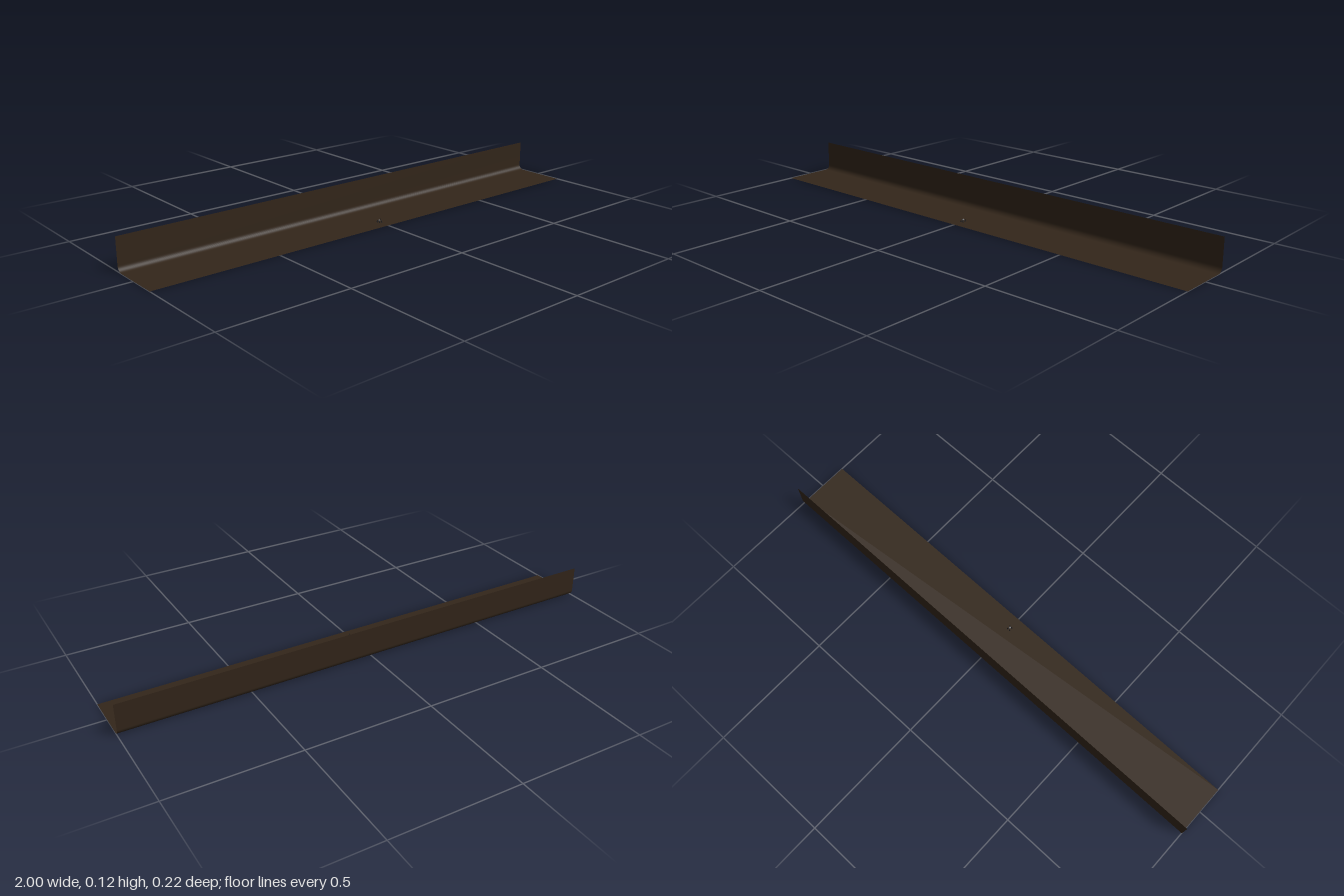
import * as THREE from 'three';

const LENGTH = 2, HEIGHT = 0.125, HALF_DEPTH = 0.11, FILLET = 0.022, BEND_STEPS = 8;

// Thin sheet: upright back, rounded inner corner, flat floor.
function makeSheet() {
  const profile = [[HEIGHT, -HALF_DEPTH]]; // [y, z] from the top edge to the front edge
  for (let i = 0; i <= BEND_STEPS; i++) {
    const a = (i / BEND_STEPS) * Math.PI / 2;
    profile.push([FILLET * (1 - Math.sin(a)), -HALF_DEPTH + FILLET * (1 - Math.cos(a))]);
  }
  profile.push([0, HALF_DEPTH]);

  const geometry = new THREE.PlaneGeometry(LENGTH, 1, 1, profile.length - 1);
  const pos = geometry.attributes.position;
  for (let i = 0; i < pos.count; i++) {
    const [y, z] = profile[Math.floor(i / 2)];
    pos.setXYZ(i, pos.getX(i), y, z);
  }
  geometry.computeVertexNormals();
  return geometry;
}

export function createModel() {
  const model = new THREE.Group();
  const add = (parent, name, geometry, material, x = 0, y = 0, z = 0) => {
    const mesh = new THREE.Mesh(geometry, material);
    mesh.name = name;
    mesh.position.set(x, y, z);
    parent.add(mesh);
    return mesh;
  };

  const sheetMat = new THREE.MeshStandardMaterial({ color: 0x33261a, side: THREE.DoubleSide });
  add(model, 'backdropSheet', makeSheet(), sheetMat);

  // Tiny ornament standing on the floor near the front edge
  const dark = new THREE.MeshStandardMaterial({ color: 0x1c1c1e });
  const grey = new THREE.MeshStandardMaterial({ color: 0x77777a });
  const ornament = new THREE.Group();
  ornament.name = 'ornament';
  ornament.position.z = 0.059;
  model.add(ornament);

  add(ornament, 'ornamentBody', new THREE.SphereGeometry(0.0042, 12, 8), grey, 0, 0.0075, 0);
  for (const sx of [-1, 1]) for (const sz of [-1, 1]) {
    add(ornament, 'ornamentFoot', new THREE.ConeGeometry(0.003, 0.011, 8), dark,
      sx * 0.005, 0.0055, sz * 0.0065);
  }
  add(ornament, 'ornamentTip', new THREE.CylinderGeometry(0.0006, 0.0006, 0.008, 6), dark,
    0, 0.012, 0.004);
  return model;
}
